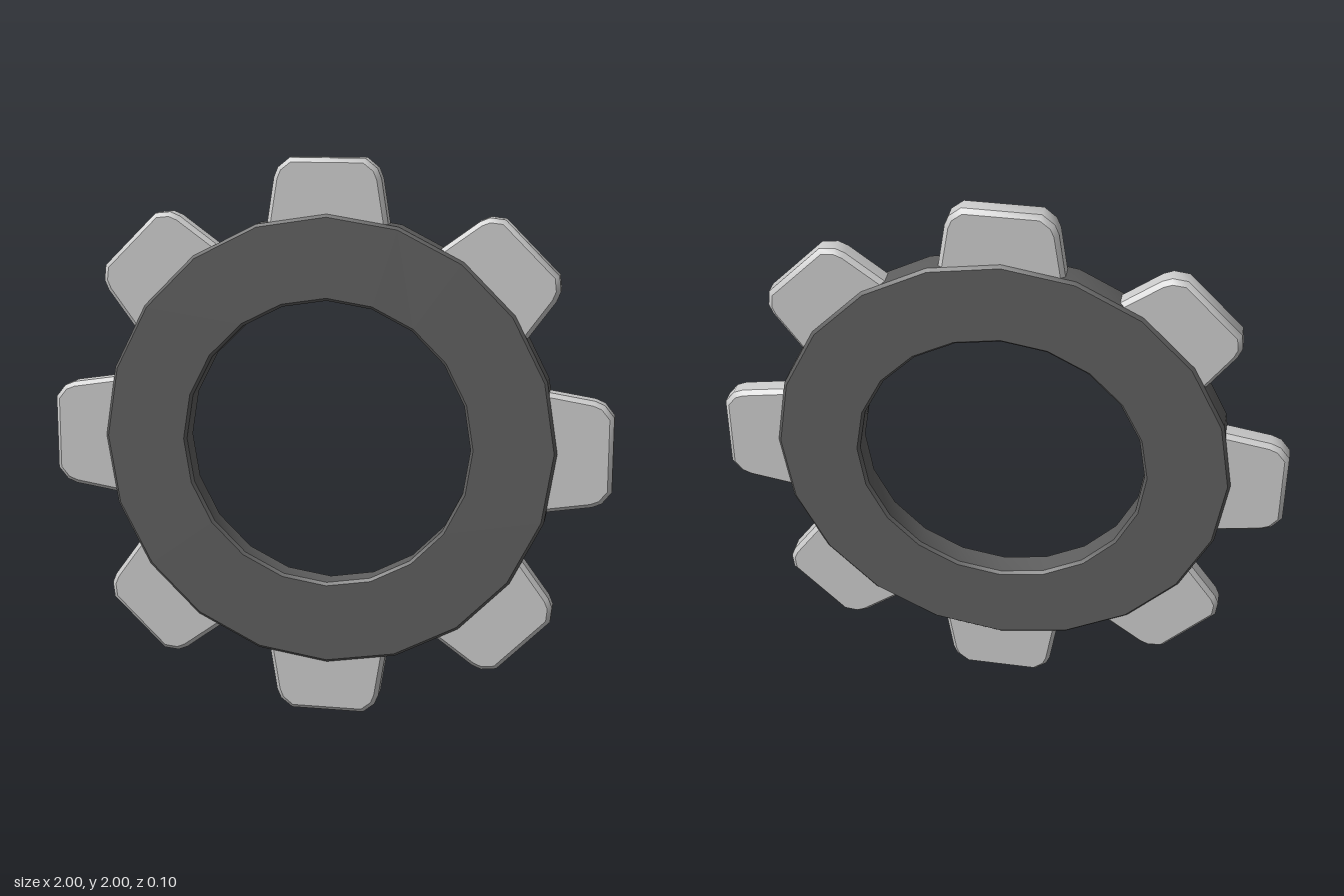
import * as THREE from 'three';
import { toCreasedNormals } from 'three/addons/utils/BufferGeometryUtils.js';

const TEETH = 8;
const SIDES = 20;
const CENTRE_Y = 1;

// Flat ring with chamfered rims, axis along z
function createRing() {
  const outer = 0.81, inner = 0.51, half = 0.05, c = 0.01;
  const profile = [
    [inner, half - c], [inner, -half + c], [inner + c, -half], [outer - c, -half],
    [outer, -half + c], [outer, half - c], [outer - c, half], [inner + c, half],
    [inner, half - c],
  ].map(([r, y]) => new THREE.Vector2(r, y));
  const geometry = new THREE.LatheGeometry(profile, SIDES).rotateX(Math.PI / 2);
  const ring = new THREE.Mesh(
    toCreasedNormals(geometry, 0.6),
    new THREE.MeshStandardMaterial({ color: 0x5e5e5e })
  );
  ring.name = 'ring';
  return ring;
}

// Tapered tooth pointing up, with clipped corners and a chamfered edge
function createToothGeometry() {
  const bevel = 0.015, half = 0.04;
  const side = [[0.23, 0.66], [0.187, 0.94], [0.175, 0.969], [0.14, 0.997]];
  const outline = [...side, ...side.map(([x, y]) => [-x, y]).reverse()];
  // The bevel grows back out to the full outline
  const shape = new THREE.Shape(outline.map(([x, y]) =>
    new THREE.Vector2(x - Math.sign(x) * bevel * 0.9, y > 0.9 ? y - bevel * 0.8 : y)));
  const geometry = new THREE.ExtrudeGeometry(shape, {
    depth: 2 * (half - bevel),
    bevelEnabled: true,
    bevelSize: bevel,
    bevelThickness: bevel,
    bevelSegments: 1,
  });
  geometry.translate(0, 0, -(half - bevel));
  return toCreasedNormals(geometry, 0.7);
}

export function createModel() {
  const model = new THREE.Group();
  model.name = 'gearWheel';
  const wheel = new THREE.Group();
  wheel.name = 'wheel';
  wheel.position.y = CENTRE_Y;
  wheel.add(createRing());

  // Teeth evenly spaced around the ring
  const toothGeometry = createToothGeometry();
  const toothMaterial = new THREE.MeshStandardMaterial({ color: 0xcccccc });
  for (let i = 0; i < TEETH; i++) {
    const tooth = new THREE.Mesh(toothGeometry, toothMaterial);
    tooth.name = `tooth${i + 1}`;
    tooth.rotation.z = (i / TEETH) * Math.PI * 2;
    wheel.add(tooth);
  }
  model.add(wheel);
  return model;
}
